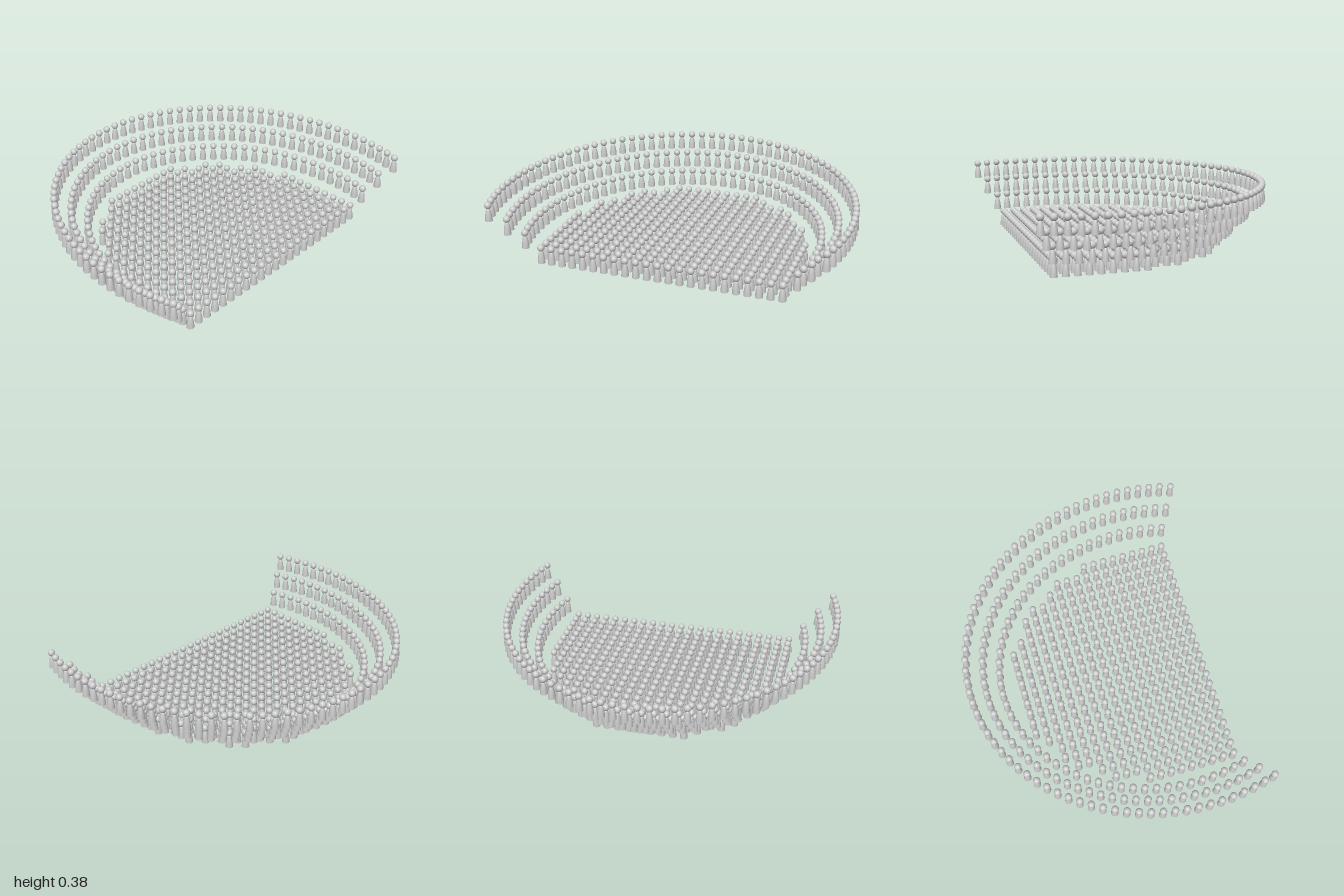
import * as THREE from 'three';
import { mergeGeometries } from 'three/addons/utils/BufferGeometryUtils.js';

const STEP = 0.0623; // spacing of the floor grid
const SIDES = 10;

// One spectator: bell-shaped body, closed base and round head
function figureGeometry() {
  const profile = [
    [0.021, 0], [0.0198, 0.022], [0.0168, 0.044], [0.0125, 0.062], [0.0085, 0.073], [0, 0.08],
  ].map(([r, y]) => new THREE.Vector2(r, y));
  const body = new THREE.LatheGeometry(profile, SIDES);
  const base = new THREE.CircleGeometry(0.021, SIDES).rotateX(Math.PI / 2);
  const head = new THREE.SphereGeometry(0.0205, SIDES, 8).translate(0, 0.09, 0);
  return mergeGeometries([body, base, head]);
}

// Points evenly spaced along an elliptical arc, open towards the front
function arcSpots({ halfWidth, back, centre, endZ, half }) {
  const depth = centre - back;
  const overrun = Math.asin((endZ - centre) / depth);
  const arc = new THREE.EllipseCurve(
    0, centre, halfWidth, depth, -Math.PI - overrun, overrun, false);
  arc.arcLengthDivisions = 600;
  return arc.getSpacedPoints(half * 2).map((p) => [p.x, p.y]);
}

export function createModel() {
  const group = new THREE.Group();
  const material = new THREE.MeshStandardMaterial({ color: 0xcccccc });
  const figure = figureGeometry();

  const addCrowd = (name, spots, y) => {
    const geometry = mergeGeometries(spots.map(([x, z]) => figure.clone().translate(x, y, z)));
    const mesh = new THREE.Mesh(geometry, material);
    mesh.name = name;
    group.add(mesh);
  };

  // Floor crowd: rows from back to front, each given by its half count
  const halfCounts = [4, 5, 7, 8, 8, 9, 10, 10, 10, 11, 11, 11, 11, 11, 11, 11, 11, 11];
  halfCounts.forEach((n, row) => {
    const spots = [];
    for (let i = -n; i <= n; i++) spots.push([i * STEP, -0.44 + row * STEP]);
    addCrowd(`floorRow${row + 1}`, spots, 0);
  });

  // Three raised tiers curving around the floor
  const tiers = [
    { name: 'lowerTier', y: 0.09, halfWidth: 0.803, back: -0.563, centre: 0.36, endZ: 0.642, half: 25 },
    { name: 'middleTier', y: 0.18, halfWidth: 0.89, back: -0.652, centre: 0.365, endZ: 0.689, half: 28 },
    { name: 'upperTier', y: 0.27, halfWidth: 0.979, back: -0.74, centre: 0.37, endZ: 0.736, half: 31 },
  ];
  for (const tier of tiers) addCrowd(tier.name, arcSpots(tier), tier.y);

  return group;
}
